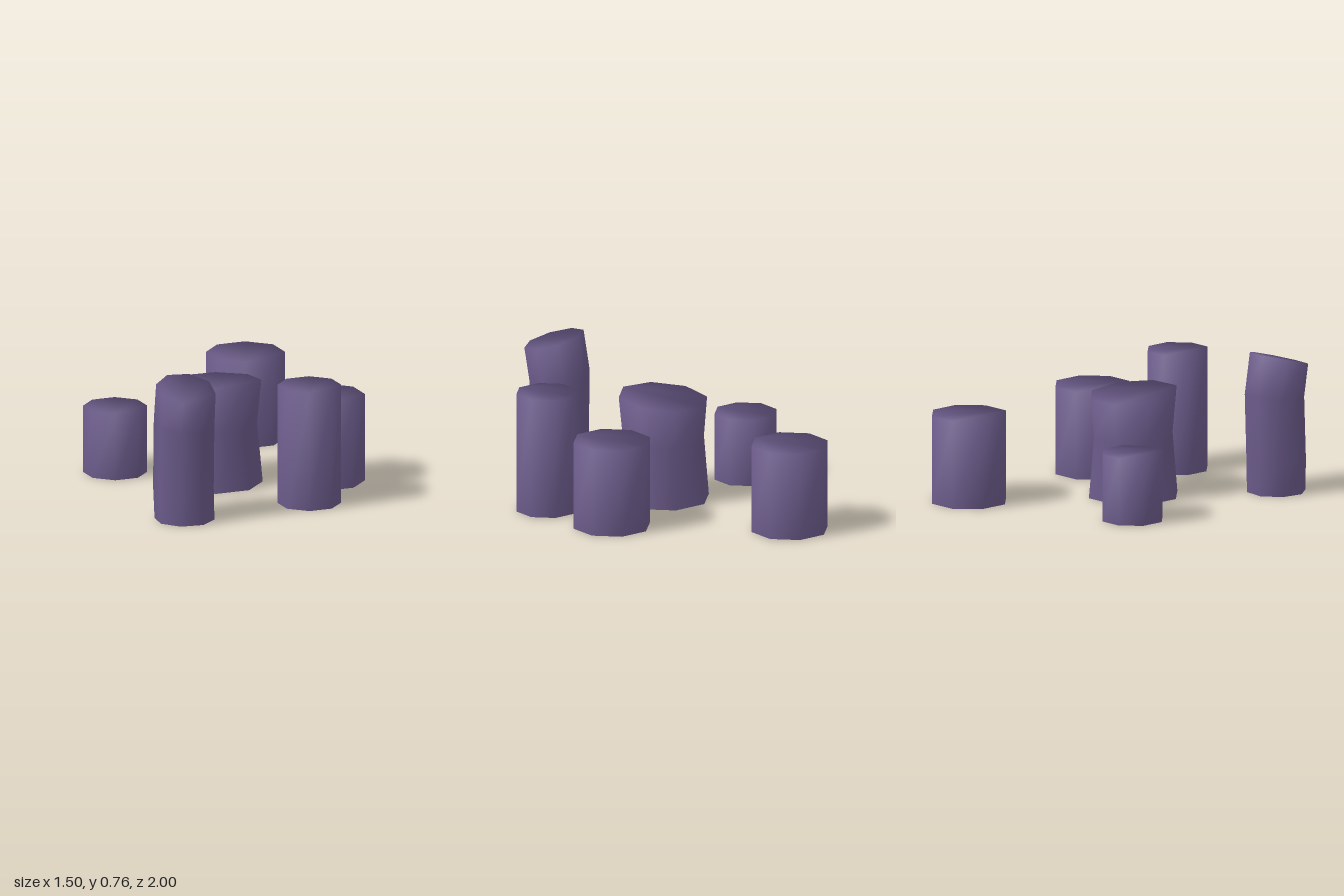
import * as THREE from 'three';

const SIDES = 8;

// Each ring: [centre x, centre y, centre z, radius, slope along x, slope along z, twist]
function columnGeometry(rings) {
  const positions = [];
  const walls = [];
  const cap = [];
  rings.forEach(([cx, cy, cz, r, sx = 0, sz = 0, twist = 0], k) => {
    for (let i = 0; i < SIDES; i++) {
      const a = (i / SIDES) * Math.PI * 2 + twist;
      const dx = Math.sin(a) * r;
      const dz = Math.cos(a) * r;
      positions.push(cx + dx, cy + dx * sx + dz * sz, cz + dz);
      if (k < rings.length - 1) {
        const p = k * SIDES + i;
        const q = k * SIDES + ((i + 1) % SIDES);
        walls.push(p, q, q + SIDES, p, q + SIDES, p + SIDES);
      }
    }
  });

  const geometry = new THREE.BufferGeometry();
  geometry.setAttribute('position', new THREE.Float32BufferAttribute(positions, 3));
  geometry.setIndex(walls);
  geometry.computeVertexNormals();

  // The top shares its rim with the wall, so the shading rolls softly over the edge
  const top = (rings.length - 1) * SIDES;
  const normals = geometry.attributes.normal;
  const n = new THREE.Vector3();
  for (let i = 0; i < SIDES; i++) {
    n.fromBufferAttribute(normals, top + i);
    n.y += 0.4;
    n.normalize();
    normals.setXYZ(top + i, n.x, n.y, n.z);
    if (i > 0 && i < SIDES - 1) cap.push(top, top + i, top + i + 1);
  }
  geometry.setIndex([...walls, ...cap]);
  return geometry;
}

export function createModel() {
  const group = new THREE.Group();
  group.name = 'columnCluster';
  const purple = new THREE.MeshStandardMaterial({ color: 0x6b5b8a, side: THREE.DoubleSide });
  purple.name = 'dusty purple';

  const add = (name, rings) => {
    const mesh = new THREE.Mesh(columnGeometry(rings), purple);
    mesh.name = name;
    group.add(mesh);
  };

  // Straight columns, open underneath: x, z, radius, height
  const straight = {
    rightShortColumn: [-0.58, -0.12, 0.17, 0.365],
    backColumn: [0.118, -0.79, 0.21, 0.475],
    leftColumn: [0.535, 0.06, 0.21, 0.475],
    frontLeftTallColumn: [0.445, 0.507, 0.169, 0.65],
  };
  for (const [name, [x, z, r, h]] of Object.entries(straight)) {
    add(name, [[x, 0, z, r], [x, h, z, r]]);
  }

  // Wide column with a waist and a slightly tilted top
  add('waistedColumn', [
    [-0.048, 0, 0.077, 0.25],
    [-0.05, 0.325, 0.077, 0.222],
    [-0.048, 0.556, 0.08, 0.243, 0.015, 0.083],
  ]);

  // Tallest column, bent and twisted, with its top sloping to the front
  add('bentTallColumn', [
    [-0.22, 0, 0.823, 0.16, 0, 0, -0.12],
    [-0.226, 0.18, 0.82, 0.162, 0, 0, -0.12],
    [-0.222, 0.52, 0.812, 0.162, -0.08, -0.1, -0.12],
    [-0.213, 0.72, 0.841, 0.159, -0.1, -0.26, -0.12],
  ]);

  return group;
}
